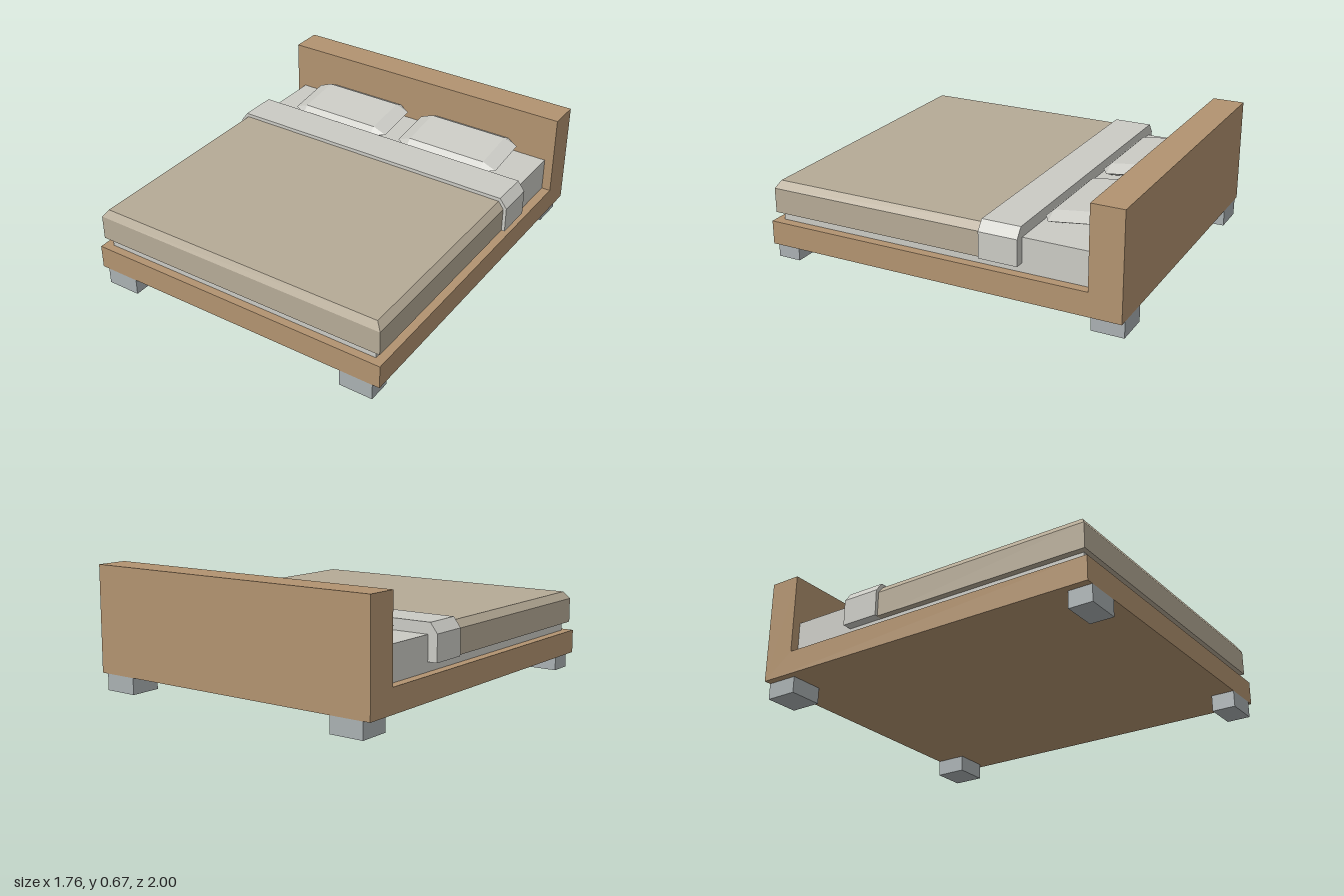
import * as THREE from 'three';
import { ConvexGeometry } from 'three/addons/geometries/ConvexGeometry.js';

function material(name, color) {
  const m = new THREE.MeshStandardMaterial({ color });
  m.name = name;
  return m;
}

// Box given by its limits on each axis
function boxBetween(x0, x1, y0, y1, z0, z1) {
  return new THREE.BoxGeometry(x1 - x0, y1 - y0, z1 - z0)
    .translate((x0 + x1) / 2, (y0 + y1) / 2, (z0 + z1) / 2);
}

// Cover draped over the mattress: straight sides, with the top edge bevelled
// inwards at the sides (insetX) and at the foot end (insetFront)
function drapedCover(halfWidth, yBottom, yBevel, yTop, zBack, zFront, insetX, insetFront) {
  const g = new THREE.BoxGeometry(2, 2, 2, 1, 2, 1).toNonIndexed();
  const p = g.attributes.position;
  for (let i = 0; i < p.count; i++) {
    const level = Math.round(p.getY(i));
    const top = level === 1 ? 1 : 0;
    p.setXYZ(
      i,
      Math.sign(p.getX(i)) * (halfWidth - top * insetX),
      [yBottom, yBevel, yTop][level + 1],
      p.getZ(i) > 0 ? zFront - top * insetFront : zBack
    );
  }
  g.computeVertexNormals();
  return g;
}

// Faceted cushion: flat top and bottom, four bevelled sides, clipped corners
function cushion() {
  const points = [];
  for (const sx of [-1, 1]) {
    for (const sz of [-1, 1]) {
      points.push(
        new THREE.Vector3(sx * 0.235, 0.034, sz * 0.128),
        new THREE.Vector3(sx * 0.235, -0.034, sz * 0.128),
        new THREE.Vector3(sx * 0.3125, 0, sz * 0.128),
        new THREE.Vector3(sx * 0.235, 0, sz * 0.176)
      );
    }
  }
  return new ConvexGeometry(points);
}

export function createModel() {
  const wood = material('wood', 0xb29370);
  const linen = material('linen', 0xcacac4);
  const blanketCloth = material('blanket cloth', 0xb5aa96);
  const metal = material('metal', 0xa9b0b2);

  const bed = new THREE.Group();
  bed.name = 'bed';
  const add = (name, geometry, mat) => {
    const mesh = new THREE.Mesh(geometry, mat);
    mesh.name = name;
    bed.add(mesh);
    return mesh;
  };

  // Base and headboard: one L-shaped profile, drawn as (z, y)
  const profile = new THREE.Shape(
    [[-1, 0.09], [1, 0.09], [1, 0.22], [-0.825, 0.22], [-0.825, 0.67], [-1, 0.67]]
      .map(([z, y]) => new THREE.Vector2(z, y))
  );
  const frame = new THREE.ExtrudeGeometry(profile, { depth: 1.75, bevelEnabled: false });
  frame.translate(0, 0, -0.875).rotateY(-Math.PI / 2);
  add('frameAndHeadboard', frame, wood);

  // Bedding
  add('mattress', boxBetween(-0.825, 0.825, 0.22, 0.405, -0.825, 0.955), linen);
  add('blanket', drapedCover(0.86, 0.27, 0.405, 0.445, -0.25, 0.98, 0.03, 0.025), blanketCloth);
  add('foldedSheet', drapedCover(0.878, 0.27, 0.412, 0.465, -0.457, -0.245, 0.04, 0), linen);

  for (const [side, s] of [['left', 1], ['right', -1]]) {
    // Feet
    const x0 = Math.min(s * 0.645, s * 0.835);
    add(side + 'FrontFoot', boxBetween(x0, x0 + 0.19, 0, 0.09, 0.87, 1), metal);
    add(side + 'BackFoot', boxBetween(x0, x0 + 0.19, 0, 0.09, -1, -0.825), metal);

    // Pillow, tilted up towards the headboard
    const pillow = add(side + 'Pillow', cushion(), linen);
    pillow.position.set(s * 0.3575, 0.455, -0.645);
    pillow.rotation.x = 0.127;
  }
  return bed;
}
